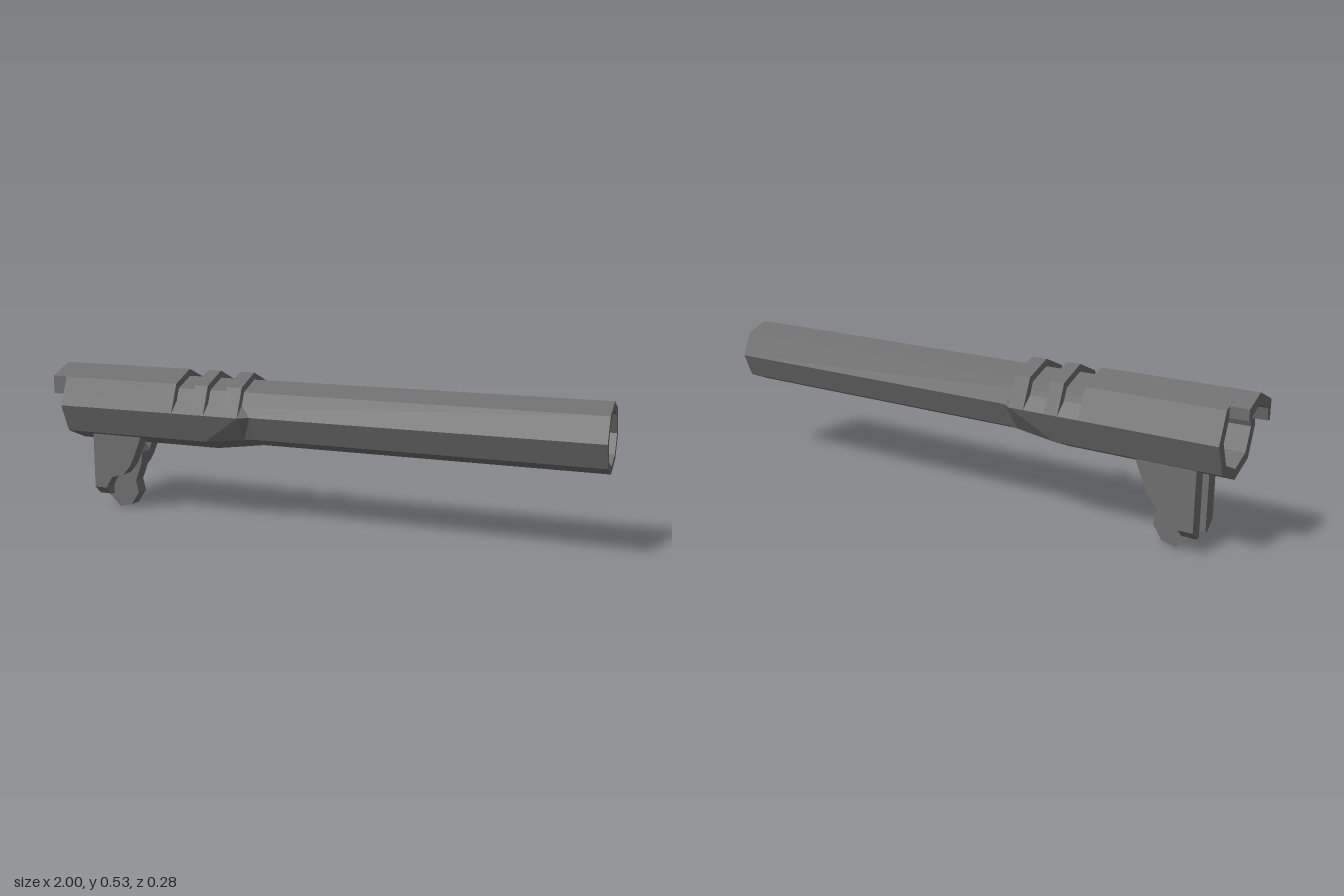
import * as THREE from 'three';

const AXIS_Y = 0.39;
const R_BREECH = 0.14, R_BARREL = 0.115, R_BORE = 0.09, R_CHAMBER = 0.106;
const REAR = -0.94;

export function createModel() {
  const model = new THREE.Group();
  model.name = 'barrelAssembly';
  const steel = new THREE.MeshStandardMaterial({ color: 0x6e6e6e });
  steel.name = 'gunmetal grey';

  // Every part is faceted, so normals are made per face
  function add(name, geometry) {
    const g = geometry.index ? geometry.toNonIndexed() : geometry;
    g.computeVertexNormals();
    const mesh = new THREE.Mesh(g, steel);
    mesh.name = name;
    model.add(mesh);
  }

  // Eight-sided turning about the x axis; profile points are [radius, x]
  function turned(profile, upperHalf = false) {
    const pts = profile.map(([r, x]) => new THREE.Vector2(r, x));
    const g = upperHalf
      ? new THREE.LatheGeometry(pts, 4, Math.PI, Math.PI)
      : new THREE.LatheGeometry(pts, 8);
    return g.rotateZ(-Math.PI / 2).translate(0, AXIS_Y, 0);
  }

  const shapeOf = (pts) => new THREE.Shape(pts.map(([a, b]) => new THREE.Vector2(a, b)));

  // Prism along z from an [x, y] outline
  const prismZ = (pts, z0, z1) =>
    new THREE.ExtrudeGeometry(shapeOf(pts), { depth: z1 - z0, bevelEnabled: false }).translate(0, 0, z0);

  // Prism along x from a [z, y] outline
  const prismX = (pts, x0, x1) =>
    new THREE.ExtrudeGeometry(shapeOf(pts.map(([z, y]) => [-z, y])), { depth: x1 - x0, bevelEnabled: false })
      .rotateY(Math.PI / 2).translate(x0, 0, 0);

  // Barrel tube with a wider chamber at the rear
  add('barrelTube', turned([
    [R_BARREL, REAR], [R_BARREL, 1], [R_BORE, 1], [R_BORE, -0.5],
    [R_CHAMBER, -0.5], [R_CHAMBER, REAR], [R_BARREL, REAR],
  ]));

  // Upper breech and the two locking ribs
  const bands = [['upperBreech', REAR, -0.48], ['rearLockingRib', -0.405, -0.355], ['frontLockingRib', -0.28, -0.225]];
  for (const [name, x0, x1] of bands) {
    add(name, turned([
      [R_BREECH, x0], [R_BREECH, x1], [R_BARREL, x1], [R_BARREL, x0], [R_BREECH, x0],
    ], true));
  }

  // Half section of the lower breech: shoulder, side, lower corner, bottom
  function section(x, rSide, rLow, shoulder) {
    const c = rLow * Math.SQRT1_2;
    return [
      shoulder ? [x, 0.43, 0.098] : [x, AXIS_Y, rSide],
      [x, AXIS_Y, rSide], [x, AXIS_Y - c, c], [x, AXIS_Y - rLow, 0],
    ];
  }
  const rings = [
    section(REAR, R_BARREL, R_BARREL, true),
    section(REAR, R_BREECH, R_BREECH, true),
    section(-0.37, R_BREECH, R_BREECH, true),
    section(-0.225, R_BREECH, 0.12, true),
    section(-0.19, R_BARREL, R_BARREL, false),
  ];

  // Lower breech with its tapered front, skinned on both sides
  const verts = [];
  for (const side of [1, -1]) {
    const tri = (p, q, r) => {
      for (const v of side > 0 ? [p, q, r] : [p, r, q]) verts.push(v[0], v[1], v[2] * side);
    };
    for (let k = 0; k < rings.length - 1; k++) {
      const a = rings[k], b = rings[k + 1];
      for (let i = 0; i < 3; i++) {
        tri(a[i], a[i + 1], b[i]);
        tri(a[i + 1], b[i + 1], b[i]);
      }
    }
  }
  const lower = new THREE.BufferGeometry();
  lower.setAttribute('position', new THREE.Float32BufferAttribute(verts, 3));
  add('lowerBreech', lower);

  // Hood tab reaching back over the chamber
  add('hoodTab', prismX([
    [0.094, 0.425], [0.094, 0.49], [0, 0.53], [-0.078, 0.497],
    [-0.078, 0.462], [0, 0.494], [0.07, 0.466], [0.08, 0.425],
  ], -1, REAR));

  // Two lug cheeks, each with a chamfered foot
  const cheek = [
    [-0.85, 0.284], [-0.647, 0.284], [-0.684, 0.195], [-0.7, 0.166], [-0.727, 0.136],
    [-0.775, 0.123], [-0.797, 0.09], [-0.8, 0.08], [-0.85, 0.08],
  ];
  for (const [label, s] of [['left', -1], ['right', 1]]) {
    add(label === 'left' ? 'rearSideLug' : 'frontSideLug',
      prismZ(cheek, s > 0 ? 0.025 : -0.075, s > 0 ? 0.075 : -0.025));
    add(label === 'left' ? 'rearSideLugFoot' : 'frontSideLugFoot',
      prismX([[0.025 * s, 0.08], [0.075 * s, 0.08], [0.042 * s, 0.05], [0.025 * s, 0.05]], -0.85, -0.8));
  }

  // Swinging link held between the cheeks
  add('link', prismZ([
    [-0.69, 0.245], [-0.674, 0.215], [-0.68, 0.17], [-0.705, 0.105], [-0.695, 0.06],
    [-0.727, 0.012], [-0.775, 0], [-0.82, 0.043], [-0.82, 0.09], [-0.785, 0.135],
    [-0.765, 0.245],
  ], -0.025, 0.025));

  return model;
}
